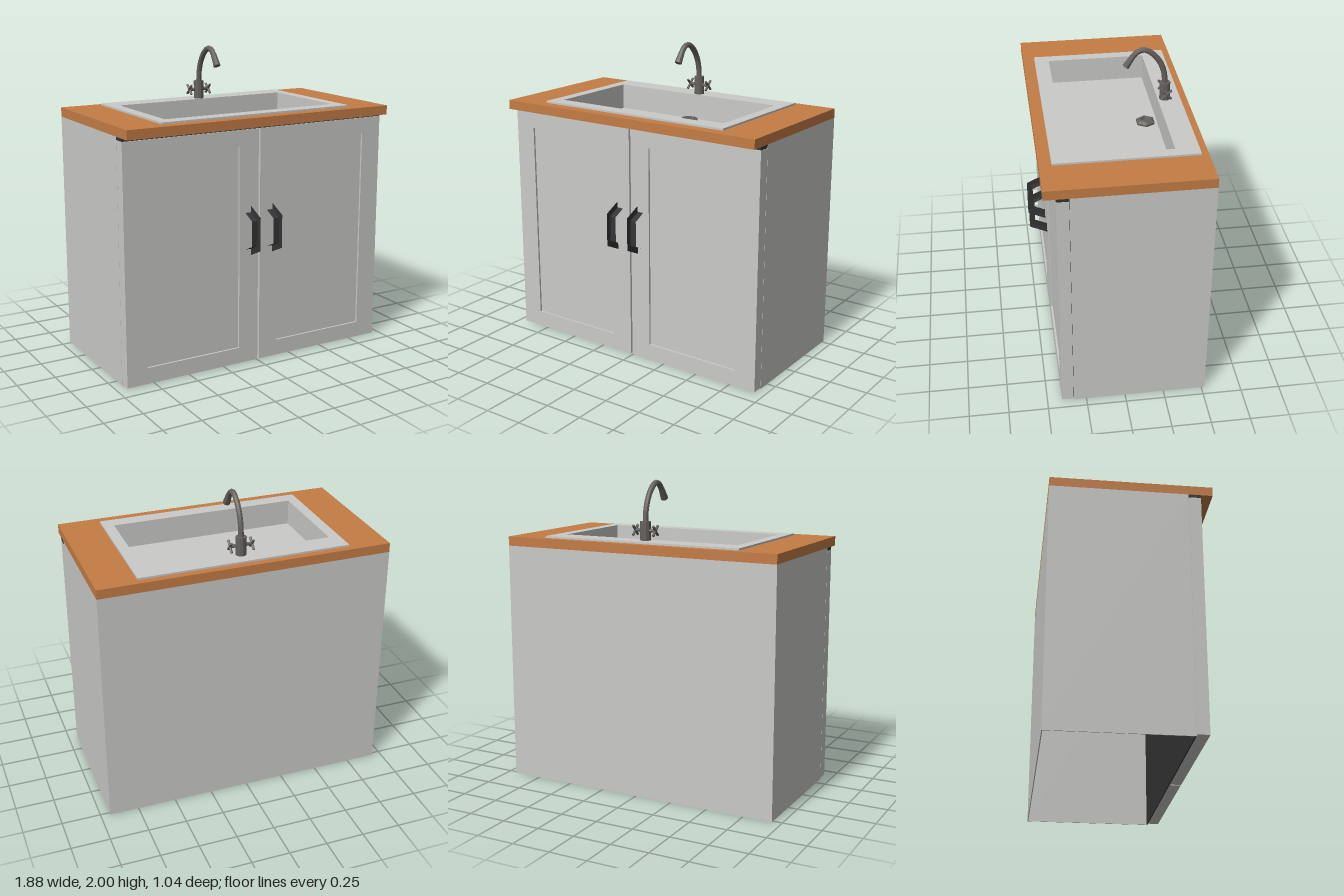
import * as THREE from 'three';

const mat = (name, color, extra = {}) =>
  Object.assign(new THREE.MeshStandardMaterial({ color, ...extra }), { name });

export function createModel() {
  const root = new THREE.Group();
  root.name = 'sinkCabinet';
  const paint = mat('light grey', 0xcacac8);
  const wood = mat('wood', 0xc47c45);
  const dark = mat('charcoal', 0x343436);
  const metal = mat('gunmetal', 0x66625e, { flatShading: true });

  const add = (name, geo, material, parent = root) => {
    const m = new THREE.Mesh(geo, material);
    m.name = name;
    parent.add(m);
    return m;
  };
  // Box given by its minimum and maximum corners
  const box = (name, material, x0, x1, y0, y1, z0, z1, parent) => {
    const m = add(name, new THREE.BoxGeometry(x1 - x0, y1 - y0, z1 - z0), material, parent);
    m.position.set((x0 + x1) / 2, (y0 + y1) / 2, (z0 + z1) / 2);
    return m;
  };
  const points = (list) => list.map(([x, y]) => new THREE.Vector2(x, y));
  const rect = (x0, x1, y0, y1) => points([[x0, y0], [x1, y0], [x1, y1], [x0, y1]]);
  const frame = (outer, inner, depth) => {
    const s = new THREE.Shape(outer);
    s.holes.push(new THREE.Path(inner));
    return new THREE.ExtrudeGeometry(s, { depth, bevelEnabled: false });
  };
  // Rod between two points
  const rod = (name, a, b, r0, r1, sides, parent) => {
    const A = new THREE.Vector3(...a), B = new THREE.Vector3(...b);
    const dir = B.clone().sub(A);
    const m = add(name, new THREE.CylinderGeometry(r1, r0, dir.length(), sides), metal, parent);
    m.position.copy(A).add(B).multiplyScalar(0.5);
    m.quaternion.setFromUnitVectors(new THREE.Vector3(0, 1, 0), dir.normalize());
    return m;
  };

  // Carcass: thin walls, open underneath, dark front behind the doors
  const T = 0.006;
  box('backPanel', paint, -0.94, 0.94, 0, 1.56, -0.52, -0.52 + T);
  for (const s of [-1, 1]) {
    const x = s * (0.94 - T / 2);
    box('sidePanel', paint, x - T / 2, x + T / 2, 0, 1.56, -0.52 + T, 0.33);
  }
  box('frontPanel', dark, -0.94 + T, 0.94 - T, 0.002, 1.56, 0.324, 0.331);
  box('topRail', dark, -0.94, 0.94, 1.541, 1.56, 0.331, 0.406);

  // Doors with recessed panels and bent bar handles
  const handleShape = new THREE.Shape(points([
    [0.405, 1.05], [0.52, 0.995], [0.52, 0.78], [0.405, 0.726],
    [0.405, 0.768], [0.485, 0.805], [0.485, 0.97], [0.405, 1.01],
  ]));
  for (const s of [-1, 1]) {
    const door = new THREE.Group();
    door.name = s > 0 ? 'leftDoor' : 'rightDoor';
    root.add(door);
    const range = (a, b) => (s > 0 ? [a, b] : [-b, -a]);
    const f = add('doorFrame', frame(
      rect(...range(0.006, 0.94), 0.01, 1.54),
      rect(...range(0.145, 0.8), 0.115, 1.435), 0.075), paint, door);
    f.position.z = 0.332;
    box('doorPanel', paint, ...range(0.145, 0.8), 0.115, 1.435, 0.332, 0.394, door);
    const h = add('doorHandle', new THREE.ExtrudeGeometry(handleShape,
      { depth: 0.042, bevelEnabled: false }), dark, door);
    h.rotation.y = -Math.PI / 2;
    h.scale.z = -1; // profile runs outwards along +z
    h.geometry.scale(1, 1, -1);
    h.position.x = s * 0.08 + 0.021;
  }

  // Worktop with a cut-out, sink rim and basin
  const flat = (name, material, outer, inner, y, depth) => {
    const m = add(name, frame(outer, inner, depth), material);
    m.rotation.x = -Math.PI / 2;
    m.position.y = y;
  };
  flat('worktop', wood, rect(-0.94, 0.94, -0.48, 0.52), rect(-0.62, 0.62, -0.32, 0.34), 1.56, 0.06);
  flat('sinkRim', paint, rect(-0.68, 0.68, -0.405, 0.475), rect(-0.61, 0.61, -0.31, 0.33), 1.62, 0.012);
  flat('basinWalls', paint, rect(-0.618, 0.618, -0.318, 0.338), rect(-0.61, 0.61, -0.31, 0.33), 1.455, 0.166);
  box('basinFloor', paint, -0.61, 0.61, 1.455, 1.465, -0.33, 0.31);

  // Hexagonal drain with a sunken centre
  const drain = add('drain', new THREE.LatheGeometry(points([
    [0.064, 0], [0.064, 0.012], [0.045, 0.024], [0.034, 0.024], [0.028, 0.006], [0, 0.006],
  ]), 6, Math.PI / 2), metal);
  drain.position.set(0, 1.465, -0.255);

  // Tap: body, curved spout with nozzle, cross handles
  const tap = new THREE.Group();
  tap.name = 'tap';
  root.add(tap);
  const Z = -0.375;
  rod('tapBody', [0, 1.63, Z], [0, 1.75, Z], 0.034, 0.034, 10, tap);
  const path = new THREE.CatmullRomCurve3([
    [1.74, -0.374], [1.82, -0.366], [1.895, -0.337], [1.955, -0.287],
    [1.981, -0.235], [1.965, -0.19], [1.93, -0.162],
  ].map(([y, z]) => new THREE.Vector3(0, y, z)));
  add('spout', new THREE.TubeGeometry(path, 16, 0.018, 8), metal, tap);
  rod('nozzle', [0, 1.942, -0.168], [0, 1.873, -0.124], 0.019, 0.024, 8, tap);
  for (const s of [-1, 1]) {
    rod('handleStem', [s * 0.02, 1.694, Z], [s * 0.078, 1.694, Z], 0.012, 0.01, 8, tap);
    for (const d of [-1, 1]) {
      rod('crossBar', [s * 0.071, 1.694 - 0.03, Z - d * 0.03],
        [s * 0.071, 1.694 + 0.03, Z + d * 0.03], 0.008, 0.008, 6, tap);
    }
  }
  return root;
}
